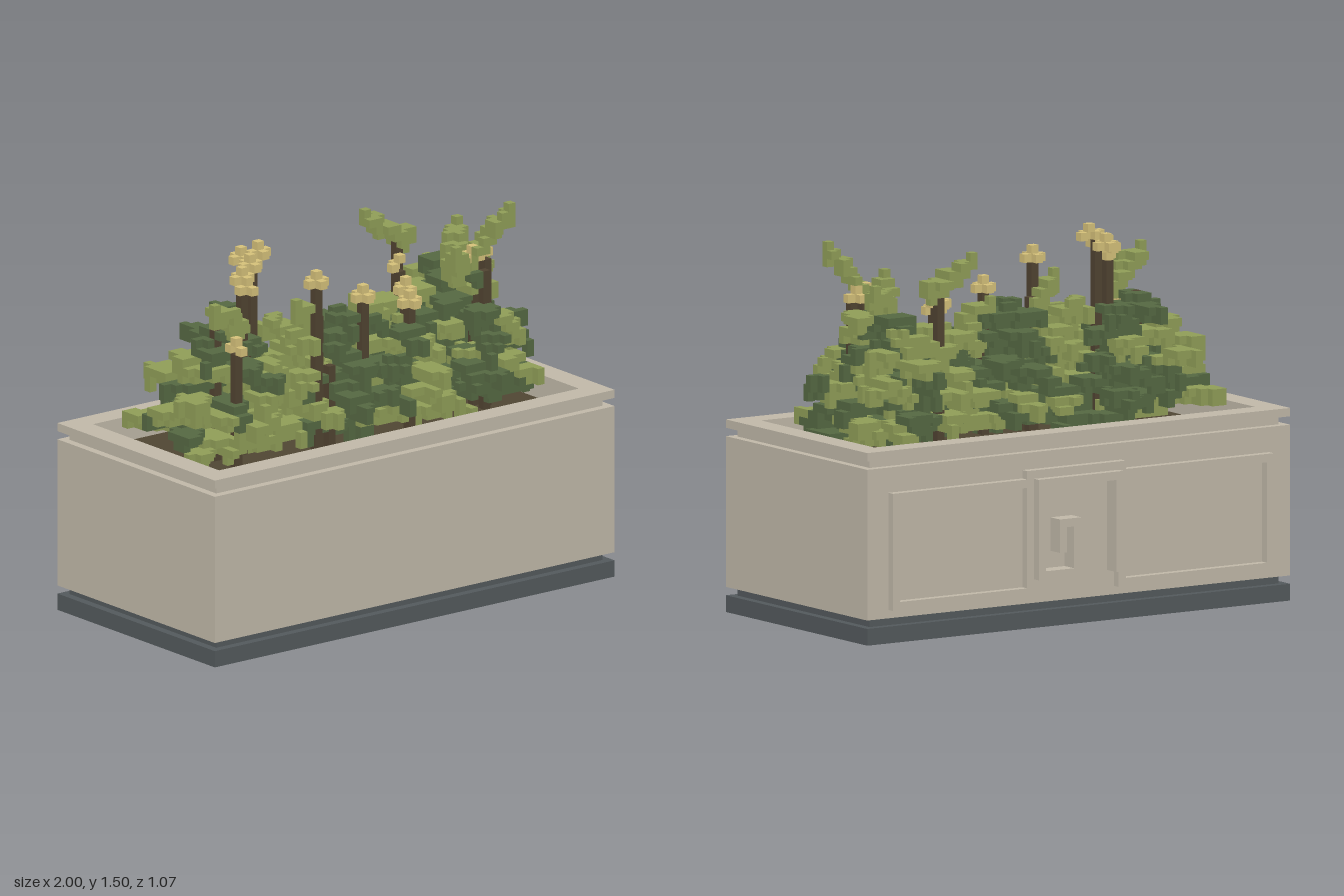
import * as THREE from 'three';
import { mergeGeometries } from 'three/addons/utils/BufferGeometryUtils.js';

const U = 1 / 30; // one block; all sizes below are in blocks

const material = (name, color) => {
  const m = new THREE.MeshStandardMaterial({ color });
  m.name = name;
  return m;
};

export function createModel() {
  const group = new THREE.Group();
  const stone = material('stone', 0xc0b8a8);
  const slate = material('slate', 0x53595c);
  const soil = material('soil', 0x504633);
  const plantColours = {
    darkLeaf: material('dark green', 0x556842),
    lightLeaf: material('light green', 0x8f9d57),
    stem: material('brown', 0x504331),
    blossom: material('straw yellow', 0xd4c079),
  };

  let seed = 11;
  const rand = () => (seed = (seed * 16807) % 2147483647) / 2147483647;

  const add = (name, geometry, mat) => {
    const mesh = new THREE.Mesh(geometry, mat);
    mesh.name = name;
    group.add(mesh);
  };
  const box = (name, mat, x0, x1, y0, y1, z0, z1) => {
    const g = new THREE.BoxGeometry((x1 - x0) * U, (y1 - y0) * U, (z1 - z0) * U);
    g.translate((x0 + x1) / 2 * U, (y0 + y1) / 2 * U, (z0 + z1) / 2 * U);
    add(name, g, mat);
  };

  // Planter: rectangular rings around the planting hole
  const rect = (Type, x, zMin, zMax) => new Type([[-x, -zMax], [x, -zMax], [x, -zMin], [-x, -zMin]]
    .map(([a, b]) => new THREE.Vector2(a * U, b * U)));
  const ring = (name, x, zMin, zMax, y0, y1) => {
    const shape = rect(THREE.Shape, x, zMin, zMax);
    shape.holes.push(rect(THREE.Path, 27, -11, 13));
    const g = new THREE.ExtrudeGeometry(shape, { depth: (y1 - y0) * U, bevelEnabled: false });
    add(name, g.rotateX(-Math.PI / 2).translate(0, y0 * U, 0), stone);
  };
  box('foot', slate, -30, 30, 0, 2, -14, 16);
  box('footStep', slate, -29, 29, 2, 3, -13, 15);
  ring('planterBody', 30, -14, 16, 3, 21);
  ring('planterNeck', 29, -13, 15, 21, 22);
  ring('planterRim', 30, -14, 16, 22, 23);
  box('soilBed', soil, -27, 27, 3, 20, -11, 13);

  // Raised frames on the back
  const frame = (x0, x1, y0, y1) => {
    box('frameBottom', stone, x0, x1, y0, y0 + 1, -15, -14);
    box('frameTop', stone, x0, x1, y1 - 1, y1, -15, -14);
    box('frameSide', stone, x0, x0 + 1, y0 + 1, y1 - 1, -15, -14);
    box('frameSide', stone, x1 - 1, x1, y0 + 1, y1 - 1, -15, -14);
  };
  frame(7, 27, 4, 18);
  frame(-27, -5, 4, 18);
  box('centreTop', stone, -6, 8, 18, 19, -15, -14);

  // Square spiral between the frames
  [[-5, 7, 17, 18], [-5, -4, 6, 17], [6, 7, 6, 17], [1, 6, 6, 7], [1, 2, 7, 13],
    [2, 4, 12, 13], [3, 4, 9, 12]]
    .forEach((b) => box('spiralBar', stone, ...b, -16, -14));

  // Planting: blocks stored by cell, the first colour to claim a cell keeps it
  const cells = new Map();
  const put = (x, y, z, colour) => {
    const p = [x, y, z].map(Math.floor);
    const key = p.join();
    if (!cells.has(key)) cells.set(key, { p, colour });
  };

  // Outline of the foliage: x, back z, front z, top y
  const outline = [[-26, -8, 6, 28], [-24, -8, 7, 30], [-22, -9, 7, 33], [-20, -8, 9, 35],
    [-18, -7, 10, 36], [-15, -7, 8, 34], [-13, -9, 6, 34], [-11, -10, 5, 36], [-9, -5, 7, 35],
    [-6, -3, 8, 36], [-3, -6, 11, 36], [0, -7, 10, 35], [3, -5, 6, 34], [6, -4, 14, 33],
    [9, -6, 10, 35], [12, -9, 6, 36], [15, -7, 10, 37], [17, -11, 10, 37], [20, -10, 9, 37],
    [22, -11, 8, 34], [24, -8, 8, 29], [26, -5, 4, 28]];
  // Height, back z, front z
  const profile = [[20, -11, 11], [24, -11, 11], [27, -10, 12], [28, -10, 14], [29, -9, 10],
    [31, -10, 10], [33, -9, 9], [36, -7, 9], [40, -7, 8]];
  const sample = (table, v) => {
    const i = table.findIndex((row) => row[0] >= v);
    if (i <= 0) return table[i < 0 ? table.length - 1 : 0];
    const [a, b] = [table[i - 1], table[i]];
    const t = (v - a[0]) / (b[0] - a[0]);
    return a.map((n, k) => n + (b[k] - n) * t);
  };
  const inside = (x, y, z) => {
    if (x < -26 || x >= 26 || y < 20) return false;
    const [, back, front, top] = sample(outline, x);
    const [, back2, front2] = sample(profile, y);
    return y < top && z >= Math.max(back, back2) && z < Math.min(front, front2);
  };

  // A leaf arches from a start along a direction, wide in the middle
  const leaf = (start, end, arch, width, colour, clip) => {
    const [dx, dy, dz] = end.map((v, i) => v - start[i]);
    const flat = Math.hypot(dx, dz) || 1;
    const steps = Math.ceil(Math.hypot(dx, dy, dz) * 1.4);
    for (let s = 0; s <= steps; s++) {
      const t = s / steps;
      const half = width * Math.sin(Math.PI * (0.12 + 0.83 * t));
      const y = start[1] + dy * t + arch * 4 * t * (1 - t);
      for (let k = -half; k <= half; k += 0.6) {
        const x = start[0] + dx * t - dz / flat * k + 0.5;
        const z = start[2] + dz * t + dx / flat * k + 0.5;
        if (!clip || inside(x, y, z)) put(x, y, z, colour);
        if (Math.abs(k) < 0.4 && (!clip || inside(x, y - 1, z))) put(x, y - 1, z, colour);
      }
    }
  };

  // Blossoms: x, y, z of each head
  [[-15, 41, 1], [-15, 40, 2], [-12, 42, -3], [-11, 43, -1], [-13, 42, 0], [-7, 40, 5], [0, 37, 5],
    [7, 35, 5], [8, 36, 3], [11, 37, -2], [20, 38, 2], [18, 38, 3], [-19, 34, 5]]
    .forEach(([x, y, z]) => {
      put(x, y + 1, z, 'blossom');
      [[1, 0], [-1, 0], [0, 1], [0, -1]].forEach(([a, b]) => {
        if (rand() < 0.8) put(x + a, y, z + b, 'blossom');
      });
    });

  // Stems: x, z, top y
  [[-15, 1, 41], [-12, -1, 43], [-7, 5, 40], [-6, 4, 36], [-5, 5, 30], [0, 5, 37], [7, 5, 35],
    [8, 3, 36], [11, -2, 37], [13, -5, 40], [19, 2, 38], [20, 3, 38], [19, 4, 37],
    [-19, 5, 34], [-19, 1, 36]].forEach(([x, z, top]) => {
    for (let y = 20; y < top; y++) put(x, y, z, 'stem');
  });

  // Bushes: x, z, radius, height, share of dark leaves, number of leaves
  [[-17, 0, 9, 36, 0.65, 18], [-12, -5, 6, 35, 0.9, 11], [-22, 0, 7, 33, 0.05, 11],
    [-15, 4, 6, 31, 0.1, 9], [-8, 2, 7, 35, 0.05, 13], [-1, 2, 9, 36, 0.9, 20],
    [6, 4, 8, 34, 0.2, 13], [11, -1, 8, 35, 0.2, 14], [18, 0, 9, 37, 0.85, 20],
    [18, -6, 7, 36, 0.3, 12], [19, 5, 6, 33, 0.4, 10], [22, 1, 5, 31, 0.7, 9]]
    .forEach(([x, z, radius, height, dark, count]) => {
      for (let i = 0; i < count; i++) {
        const f = i / (count - 1);
        const angle = i * 2.4 + rand() * 0.5;
        const length = radius * (1 - 0.55 * f) * (0.9 + rand() * 0.4);
        const y = 22 + f * (height - 23);
        const end = [x + Math.cos(angle) * length, y - 1 + rand() * 2, z + Math.sin(angle) * length];
        const colour = rand() < dark ? 'darkLeaf' : 'lightLeaf';
        leaf([x, y, z], end, 1, 1.6, colour, true);
      }
    });

  // Tall sprays, then low tips reaching over the soil
  [[[-17, 36, 3], [-23, 40, 6]], [[-6, 35, 3], [-10, 38, 5]], [[4, 34, 4], [1, 36, 2]],
    [[14, 39, -5], [9, 43, -6]], [[13, 39, -5], [15, 40, -6]], [[16, 36, 2], [14, 40, 5]],
    [[17, 36, 2], [22, 44, 5]], [[18, 37, 0], [22, 40, -5]], [[20, 36, 2], [23, 36, -3]],
    [[6, 28, 8], [6, 28, 13]], [[-20, 24, -2], [-25, 24, -8]], [[-17, 26, 4], [-19, 25, 9]],
    [[-18, 28, -3], [-21, 29, -9]], [[0, 25, -2], [0, 24, -7]], [[11, 27, -4], [13, 27, -10]],
    [[20, 25, -5], [22, 23, -11]], [[8, 26, 5], [9, 24, 10]], [[21, 24, 3], [24, 24, 8]],
    [[-21, 26, 3], [-26, 28, 3]], [[-7, 25, 3], [-6, 24, 8]], [[21, 24, -2], [25, 24, -6]]]
    .forEach(([a, b]) => leaf(a, b, 0.5, 1.2, 'lightLeaf', false));
  [[[22, 28, 1], [27, 29, 1]], [[-12, 28, -4], [-11, 28, -10]], [[-3, 26, 5], [-4, 25, 11]],
    [[17, 29, -4], [17, 30, -11]], [[16, 26, 4], [17, 25, 10]], [[-16, 30, 2], [-15, 30, 8]]]
    .forEach(([a, b]) => leaf(a, b, 0.3, 1.1, 'darkLeaf', false));

  // Turn the visible faces of the blocks into one mesh per colour
  const quarter = Math.PI / 2;
  const sides = [[0, 0, 1], [0, 0, -1], [1, 0, 0], [-1, 0, 0], [0, 1, 0], [0, -1, 0]].map((d) => {
    const g = new THREE.PlaneGeometry(U, U).translate(0, 0, U / 2);
    if (d[1]) g.rotateX(-d[1] * quarter);
    else g.rotateY(d[0] * quarter + (d[2] < 0 ? Math.PI : 0));
    return { d, g };
  });
  const faces = { darkLeaf: [], lightLeaf: [], stem: [], blossom: [] };
  for (const { p, colour } of cells.values()) {
    for (const { d, g } of sides) {
      if (cells.has(p.map((v, i) => v + d[i]).join())) continue;
      faces[colour].push(g.clone().translate(...p.map((v) => (v + 0.5) * U)));
    }
  }
  const names = { darkLeaf: 'darkLeaves', lightLeaf: 'lightLeaves', stem: 'stems', blossom: 'blossoms' };
  for (const key in faces) add(names[key], mergeGeometries(faces[key]), plantColours[key]);

  return group;
}
